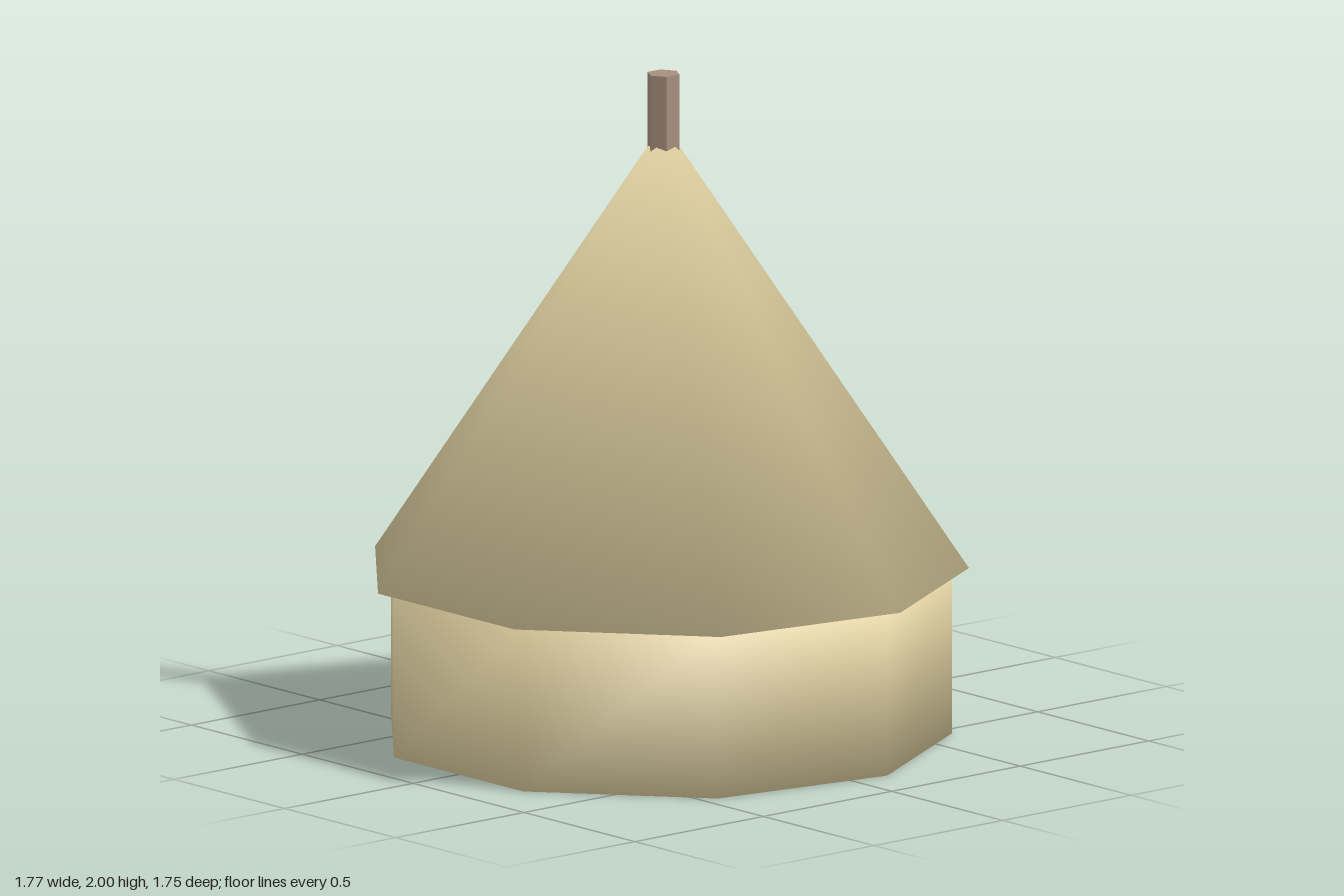
import * as THREE from 'three';

const SIDES = 9;
const CENTRE_Z = 0.025;

// Closed nine-sided solid from two rings. Each ring is { r, y, nr, ny }:
// radius, height, and the radial and vertical parts of its soft normal.
// Caps share the ring normals, so shading rolls over the rims.
function softSolid(bottom, top) {
  const pos = [], nor = [], index = [];
  for (const { r, y, nr, ny } of [bottom, top]) {
    for (let i = 0; i < SIDES; i++) {
      const a = Math.PI + (i / SIDES) * Math.PI * 2; // first corner at the back
      pos.push(r * Math.sin(a), y, r * Math.cos(a));
      nor.push(nr * Math.sin(a), ny, nr * Math.cos(a));
    }
  }
  for (let i = 0; i < SIDES; i++) {
    const j = (i + 1) % SIDES;
    index.push(i, j, SIDES + j);
    if (top.r > 0) index.push(i, SIDES + j, SIDES + i);
  }
  // Caps as fans without a centre point
  for (let i = 1; i < SIDES - 1; i++) {
    index.push(0, i + 1, i);
    if (top.r > 0) index.push(SIDES, SIDES + i, SIDES + i + 1);
  }
  const g = new THREE.BufferGeometry();
  g.setAttribute('position', new THREE.Float32BufferAttribute(pos, 3));
  g.setAttribute('normal', new THREE.Float32BufferAttribute(nor, 3));
  g.setIndex(index);
  return g;
}

export function createModel() {
  const model = new THREE.Group();
  model.name = 'roundHut';

  const straw = new THREE.MeshStandardMaterial({ color: 0xe3d3a3 });
  const wood = new THREE.MeshStandardMaterial({ color: 0xa58f7d, flatShading: true });

  const add = (name, geometry, material) => {
    const mesh = new THREE.Mesh(geometry, material);
    mesh.name = name;
    mesh.position.z = CENTRE_Z;
    model.add(mesh);
    return mesh;
  };

  // Low round wall
  add('wall', softSolid(
    { r: 0.85, y: 0, nr: 0.77, ny: -0.64 },
    { r: 0.85, y: 0.5, nr: 0.77, ny: 0.64 }
  ), straw);

  // Pointed roof with a small overhang
  add('roof', softSolid(
    { r: 0.9, y: 0.5, nr: 0.91, ny: -0.41 },
    { r: 0, y: 1.85, nr: 0, ny: 1 }
  ), straw);

  // Central pole running from the floor out through the roof tip
  const pole = add('pole', new THREE.CylinderGeometry(0.05, 0.05, 2, 6), wood);
  pole.position.y = 1;

  return model;
}
